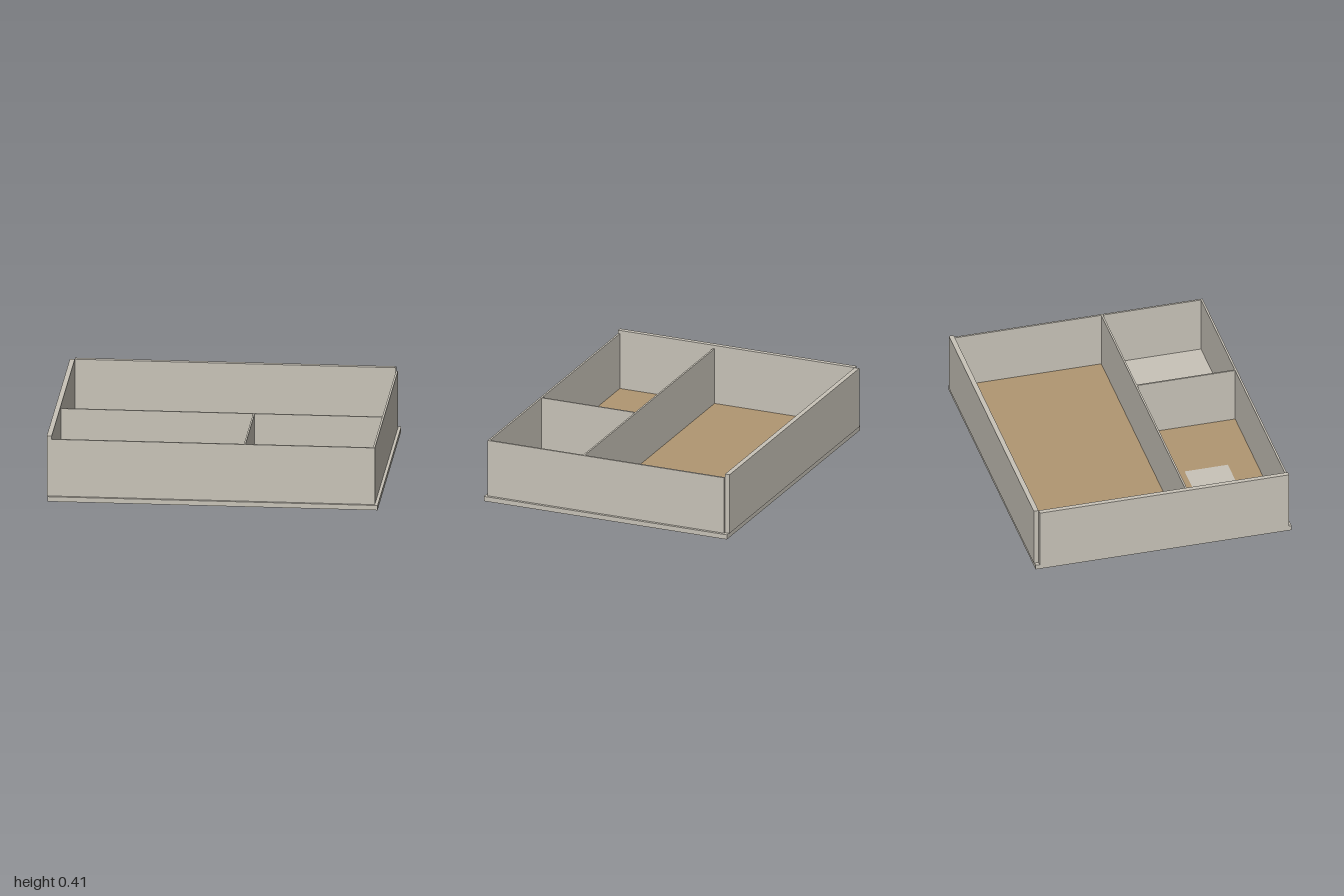
import * as THREE from 'three';

export function createModel() {
  const model = new THREE.Group();
  model.name = 'roomModel';
  const plaster = new THREE.MeshStandardMaterial({ color: 0xc8c3b8 });
  plaster.name = 'warm grey plaster';
  const wood = new THREE.MeshStandardMaterial({ color: 0xb09672 });
  wood.name = 'tan wood floor';

  // Box given by its min and max on each axis
  function block(name, material, [x0, x1], [y0, y1], [z0, z1]) {
    const mesh = new THREE.Mesh(new THREE.BoxGeometry(x1 - x0, y1 - y0, z1 - z0), material);
    mesh.position.set((x0 + x1) / 2, (y0 + y1) / 2, (z0 + z1) / 2);
    mesh.name = name;
    model.add(mesh);
  }

  const base = 0.03, low = 0.387, high = 0.408;
  const inner = [-0.97, 0.97];

  // Floor slab
  block('baseSlab', plaster, [-0.995, 1], [0, base], [-0.797, 0.8]);

  // Thick taller walls, leaving an open notch at the back corner
  block('backWall', plaster, inner, [base, high], [-0.802, -0.772]);
  block('rightWall', plaster, [-1, -0.97], [base, high], [-0.772, 0.783]);

  // Thin lower walls
  block('frontWall', plaster, [-0.97, 0.982], [base, low], [0.771, 0.783]);
  block('leftWall', plaster, [0.97, 0.982], [base, low], [-0.772, 0.771]);

  // Partitions
  block('longPartition', plaster, inner, [base, low], [0.149, 0.16]);
  block('shortPartition', plaster, [0.19, 0.2], [base, low], [0.16, 0.771]);

  // Wood floor of the large room
  block('largeRoomFloor', wood, inner, [base, base + 0.004], [-0.772, 0.149]);

  // Wood floor of the small room, with a plain rectangle left open
  const rect = (path, x0, x1, z0, z1) =>
    path.moveTo(x0, -z0).lineTo(x1, -z0).lineTo(x1, -z1).lineTo(x0, -z1).closePath();
  const shape = new THREE.Shape();
  rect(shape, -0.97, 0.19, 0.16, 0.771);
  const opening = new THREE.Path();
  rect(opening, -0.5, -0.27, 0.33, 0.6);
  shape.holes.push(opening);
  const floor = new THREE.Mesh(
    new THREE.ExtrudeGeometry(shape, { depth: 0.004, bevelEnabled: false }), wood);
  floor.rotation.x = -Math.PI / 2;
  floor.position.y = base;
  floor.name = 'smallRoomFloor';
  model.add(floor);

  return model;
}
